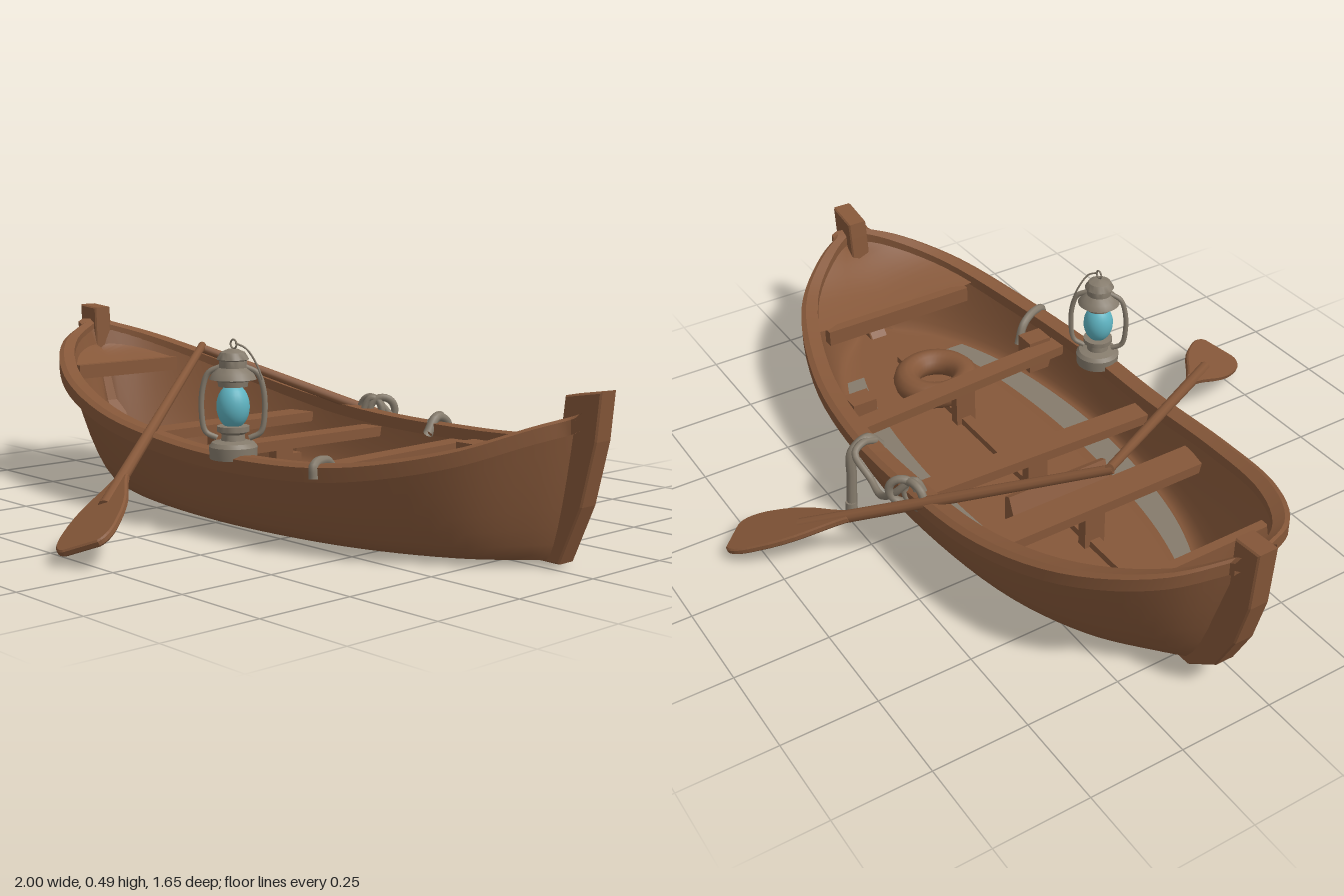
import * as THREE from 'three';
import { toCreasedNormals } from 'three/addons/utils/BufferGeometryUtils.js';

const V = (x, y, z) => new THREE.Vector3(x, y, z);
const CZ = -0.045; // z of the boat's centreline

// Hull stations: x, sheer height, half width / x, half width at the bottom
const stations = [
  [-0.95, 0.44, 0.02, -0.82, 0.015], [-0.86, 0.39, 0.17, -0.73, 0.08],
  [-0.67, 0.32, 0.295, -0.6, 0.18], [-0.4, 0.25, 0.365, -0.4, 0.27],
  [-0.1, 0.21, 0.385, -0.1, 0.325], [0.2, 0.2, 0.39, 0.2, 0.33],
  [0.5, 0.215, 0.35, 0.5, 0.28], [0.76, 0.27, 0.25, 0.72, 0.18],
  [0.89, 0.325, 0.12, 0.83, 0.08], [0.95, 0.35, 0.02, 0.89, 0.015],
];
const sheer = new THREE.CatmullRomCurve3(stations.map(s => V(s[0], s[1], s[2])));
const bilge = new THREE.CatmullRomCurve3(stations.map(s => V(s[3], 0.015, s[4])));
const N = 48;

// Joins rings of points into a surface
function loft(rings, closed = false, crease = 0.7) {
  const n = rings[0].length, idx = [];
  for (let i = 0; i < rings.length - 1; i++)
    for (let j = 0; j < (closed ? n : n - 1); j++) {
      const a = i * n + j, b = i * n + (j + 1) % n;
      idx.push(a, b, a + n, b, b + n, a + n);
    }
  const g = new THREE.BufferGeometry().setFromPoints(rings.flat());
  g.setIndex(idx);
  return toCreasedNormals(g, crease);
}

// Samples a ring function along part of the hull
const along = (u0, u1, ring) => Array.from({ length: N + 1 }, (_, i) => ring(u0 + (u1 - u0) * i / N));

// Curve parameter where the sheer reaches x
function uAt(x) {
  let a = 0, b = 1;
  for (let i = 0; i < 30; i++) {
    const m = (a + b) / 2;
    if (sheer.getPoint(m).x < x) a = m; else b = m;
  }
  return a;
}

function hullSkin(inset, floorY) {
  return loft(along(0, 1, u => {
    const s = sheer.getPoint(u), b = bilge.getPoint(u);
    const wTop = Math.max(0.005, s.z - inset), wBot = Math.max(0.004, b.z - inset * 0.7);
    const half = [1, 0.8, 0.6, 0.4, 0.25, 0.12, 0.04, 0].map(t => V(
      b.x + (s.x - b.x) * t ** 0.65, floorY + (s.y - floorY) * t, wBot + (wTop - wBot) * t ** 0.55));
    half.push(V(b.x, floorY, wBot * 0.6));
    const mirror = half.map(p => V(p.x, p.y, -p.z)).reverse();
    return [...half, V(b.x, floorY, 0), ...mirror];
  }), false, 0.9);
}

export function createModel() {
  const mat = (name, color) => new THREE.MeshStandardMaterial({ name, color, side: THREE.DoubleSide });
  const wood = mat('brown wood', 0x855739);
  const grey = mat('weathered grey', 0x857b6c);
  const glass = mat('teal glass', 0x5fb4c2);

  const model = new THREE.Group();
  const boat = new THREE.Group();
  boat.name = 'boat';
  boat.position.z = CZ;
  model.add(boat);
  const add = (parent, name, geo, m, x = 0, y = 0, z = 0) => {
    const mesh = new THREE.Mesh(geo, m);
    mesh.name = name;
    mesh.position.set(x, y, z);
    parent.add(mesh);
    return mesh;
  };
  const box = (name, w, h, d, x, y, z) => add(boat, name, new THREE.BoxGeometry(w, h, d), wood, x, y, z);
  const tube = (parent, name, pts, r, m, seg = 32) => add(parent, name,
    new THREE.TubeGeometry(new THREE.CatmullRomCurve3(pts.map(p => V(...p))), seg, r, 8), m);

  // Hull
  add(boat, 'outerHull', hullSkin(0.018, 0.015), wood);
  add(boat, 'innerHull', hullSkin(0.04, 0.045), wood);

  for (const side of [-1, 1]) {
    // Rim
    add(boat, 'rim', loft(along(0, 1, u => {
      const s = sheer.getPoint(u), w = Math.max(0.05, s.z);
      return [[0.008, -0.032], [0.008, 0.002], [-0.008, 0.01], [-0.045, 0.008], [-0.045, -0.025]]
        .map(([dz, dy]) => V(s.x, s.y + dy, side * (w + dz)));
    }), true, 0.5), wood);
    // Faded band along the edge of the floor
    add(boat, 'floorBand', loft(along(0.06, uAt(0.65), u => {
      const b = bilge.getPoint(u), w = b.z - 0.03;
      return [V(b.x, 0.049, side * Math.max(0, w * 0.7)), V(b.x, 0.049, side * Math.max(0, w * 0.97))];
    })), grey);
    // Small side blocks
    box('sideBlock', 0.06, 0.1, 0.07, 0.36, 0.14, side * 0.285);
  }

  // End decks
  for (const [name, x0, x1, drop] of [['bowDeck', -0.94, -0.78, 0.03], ['sternDeck', 0.66, 0.94, 0.012]])
    add(boat, name, loft(along(uAt(x0), uAt(x1), u => {
      const s = sheer.getPoint(u), w = Math.max(0.01, s.z - 0.035);
      return [-1, -0.5, 0, 0.5, 1].map(k => V(s.x, s.y - drop - 0.03 * (1 - Math.abs(k)), k * w));
    })), wood);
  box('sternBeam', 0.03, 0.045, 0.46, 0.66, 0.205, 0);
  box('bowBeam', 0.025, 0.04, 0.36, -0.78, 0.31, 0);

  // Stem posts
  const post = (name, pts) => {
    const geo = new THREE.ExtrudeGeometry(new THREE.Shape(pts.map(p => new THREE.Vector2(...p))), {
      depth: 0.048, bevelEnabled: true, bevelSize: 0.004, bevelThickness: 0.004, bevelSegments: 1 });
    return add(boat, name, geo, wood, 0, 0, -0.024);
  };
  post('bowPost', [[-0.996, 0.486], [-0.985, 0.33], [-0.95, 0.2], [-0.895, 0.09], [-0.8, 0.014], [-0.66, 0.014],
    [-0.78, 0.07], [-0.87, 0.2], [-0.92, 0.35], [-0.924, 0.48]]).position.z -= 0.012;
  post('sternPost', [[0.996, 0.408], [0.985, 0.3], [0.95, 0.15], [0.893, 0.014], [0.78, 0.014],
    [0.85, 0.1], [0.89, 0.25], [0.9, 0.35], [0.905, 0.392]]).position.z += 0.006;

  // Floor strip and keel
  box('floorStrip', 1.4, 0.02, 0.03, -0.05, 0.055, 0);
  box('keel', 1.6, 0.008, 0.03, 0.03, 0.012, 0);

  // Benches with central supports
  for (const [x, w, len, y, turn] of [[-0.345, 0.085, 0.65, 0.18, 0], [-0.08, 0.065, 0.69, 0.165, -0.03], [0.29, 0.055, 0.67, 0.165, 0.07]]) {
    box('bench', w, 0.028, len, x, y, 0).rotation.y = turn;
    box('benchSupport', 0.03, y - 0.05, 0.06, x, (y + 0.04) / 2, 0);
  }

  // Footrest of two tilted boards
  box('footrest', 0.02, 0.1, 0.3, -0.2, 0.1, 0).rotation.z = -0.4;
  box('footrest', 0.05, 0.07, 0.07, -0.17, 0.08, -0.1);
  box('footrest', 0.05, 0.07, 0.07, -0.17, 0.08, 0.1);

  // Ring lying on the floor
  const ring = add(boat, 'lifeRing', new THREE.TorusGeometry(0.086, 0.038, 12, 32), wood, 0.45, 0.095, 0.005);
  ring.rotation.x = Math.PI / 2;

  // Oars: local y runs from grip to blade tip
  const bladeShape = new THREE.Shape();
  bladeShape.moveTo(-0.014, 0);
  bladeShape.bezierCurveTo(-0.03, 0.08, -0.075, 0.12, -0.075, 0.26);
  bladeShape.quadraticCurveTo(-0.072, 0.325, -0.04, 0.335);
  bladeShape.lineTo(0.05, 0.335);
  bladeShape.quadraticCurveTo(0.075, 0.32, 0.07, 0.25);
  bladeShape.bezierCurveTo(0.065, 0.12, 0.03, 0.08, 0.014, 0);
  const oar = (name, from, to, twist) => {
    const g = new THREE.Group(), d = to.clone().sub(from), len = d.length();
    d.normalize();
    const across = V(0, 1, 0).cross(d).normalize();
    g.name = name;
    g.position.copy(from);
    g.quaternion.setFromRotationMatrix(new THREE.Matrix4().makeBasis(across, d, across.clone().cross(d)));
    add(g, 'oarShaft', new THREE.CylinderGeometry(0.017, 0.012, len - 0.2, 10), wood, 0, (len - 0.2) / 2, 0);
    const blade = add(g, 'oarBlade', new THREE.ExtrudeGeometry(bladeShape, {
      depth: 0.01, bevelSize: 0.004, bevelThickness: 0.004, bevelSegments: 1, curveSegments: 8 }), wood, 0, len - 0.34, -0.005);
    blade.rotation.y = twist;
    model.add(g);
  };
  oar('leftOar', V(-0.485, 0.395, -0.1), V(0.175, 0.045, 0.79), 0.35);
  oar('rightOar', V(-0.485, 0.39, -0.09), V(0.195, 0.025, -0.8), 0);

  // Lantern
  const lantern = new THREE.Group();
  lantern.name = 'lantern';
  lantern.position.set(0.15, 0, 0.315);
  model.add(lantern);
  const lathe = (name, pts) => add(lantern, name,
    toCreasedNormals(new THREE.LatheGeometry(pts.map(p => new THREE.Vector2(...p)), 24), 0.6), grey);
  lathe('lanternBase', [[0, 0.195], [0.058, 0.195], [0.06, 0.225], [0.052, 0.235], [0.03, 0.24], [0.028, 0.255], [0.04, 0.262], [0.04, 0.275], [0, 0.277]]);
  lathe('lanternCap', [[0, 0.372], [0.036, 0.372], [0.038, 0.385], [0.058, 0.39], [0.05, 0.405], [0.034, 0.418],
    [0.034, 0.435], [0.04, 0.438], [0.03, 0.455], [0.012, 0.463], [0, 0.464]]);
  add(lantern, 'lanternGlobe', new THREE.SphereGeometry(0.041, 24, 16), glass, 0, 0.323, 0).scale.y = 1.35;
  for (const s of [-1, 1]) {
    const p = (r, y) => [s * r * 0.7, y, -s * r * 0.7];
    tube(lantern, 'lanternFrame', [p(0.04, 0.245), p(0.068, 0.26), p(0.078, 0.31), p(0.074, 0.37), p(0.06, 0.405), p(0.03, 0.42)], 0.007, grey);
  }
  add(lantern, 'lanternRing', new THREE.TorusGeometry(0.011, 0.0025, 6, 16), grey, 0.003, 0.475, 0);
  tube(lantern, 'lanternWire', [[0.01, 0.478, 0], [0.032, 0.465, -0.015], [0.045, 0.43, -0.035], [0.058, 0.39, -0.045]], 0.0025, grey);

  // Ropes: loops around the oar, a sagging line and a hanging end
  for (const [x, z, turn] of [[-0.12, -0.43, 0.2], [-0.09, -0.445, 0.9]]) {
    const loop = add(model, 'ropeLoop', new THREE.TorusGeometry(0.036, 0.011, 8, 24), grey, x, 0.215, z);
    loop.rotation.y = turn;
  }
  tube(model, 'rope', [[-0.13, 0.2, -0.4], [-0.11, 0.25, -0.42], [-0.07, 0.2, -0.46], [0, 0.15, -0.465], [0.06, 0.16, -0.46],
    [0.11, 0.215, -0.475], [0.13, 0.225, -0.44], [0.14, 0.21, -0.4]], 0.01, grey, 48);
  tube(model, 'ropeEnd', [[0.15, 0.18, -0.38], [0.145, 0.222, -0.42], [0.14, 0.2, -0.468], [0.135, 0.12, -0.478], [0.13, 0.012, -0.488]], 0.014, grey);
  add(model, 'ropeKnot', new THREE.CylinderGeometry(0.015, 0.019, 0.05, 10), grey, 0.13, 0.025, -0.488);
  tube(model, 'frontRope', [[0.4, 0.15, 0.21], [0.41, 0.205, 0.235], [0.43, 0.222, 0.28], [0.445, 0.215, 0.32], [0.45, 0.185, 0.325]], 0.012, grey);

  return model;
}
